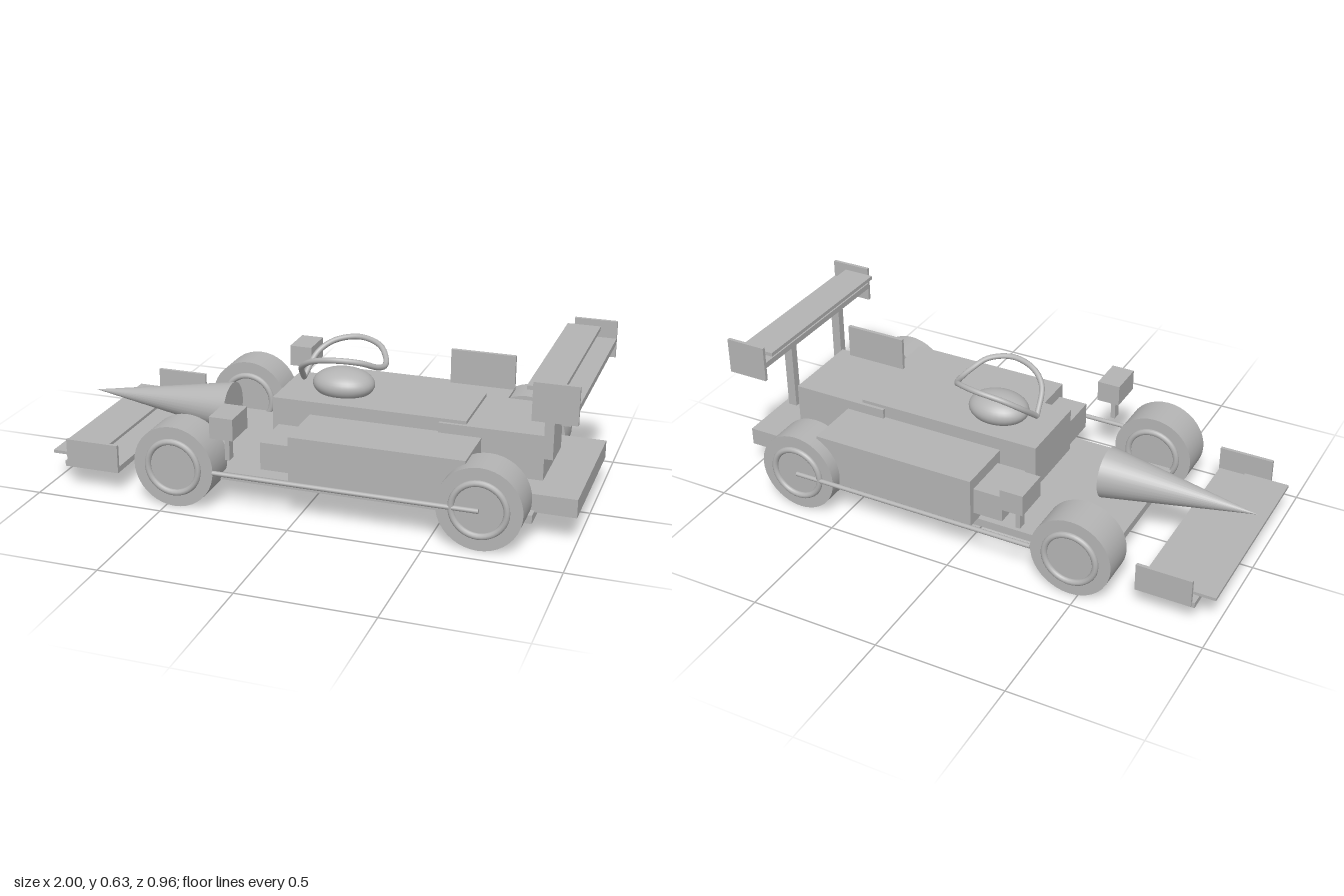
import * as THREE from 'three';

export function createModel() {
  const car = new THREE.Group();
  car.name = 'raceCar';
  const grey = new THREE.MeshStandardMaterial({ color: 0xb4b4b4 });
  grey.name = 'plain grey';

  const add = (name, geometry, x = 0, y = 0, z = 0) => {
    const mesh = new THREE.Mesh(geometry, grey);
    mesh.name = name;
    mesh.position.set(x, y, z);
    car.add(mesh);
    return mesh;
  };
  // Box given by its limits on each axis
  const box = (name, x0, x1, y0, y1, z0, z1) =>
    add(name, new THREE.BoxGeometry(x1 - x0, y1 - y0, z1 - z0),
      (x0 + x1) / 2, (y0 + y1) / 2, (z0 + z1) / 2);
  // Box repeated on both sides of the car
  const pair = (name, x0, x1, y0, y1, z0, z1) => {
    box(name + 'Left', x0, x1, y0, y1, z0, z1);
    box(name + 'Right', x0, x1, y0, y1, -z1, -z0);
  };

  // Body, the nose pointing to -x
  box('floor', -0.555, 0.85, 0.083, 0.115, -0.33, 0.33);
  box('cockpit', -0.185, 0.56, 0.185, 0.363, -0.15, 0.15);
  box('engineCover', 0.46, 0.85, 0.115, 0.35, -0.163, 0.163);
  box('diffuser', 0.63, 1.0, 0.108, 0.178, -0.285, 0.285);
  pair('sidePod', -0.038, 0.62, 0.115, 0.312, 0.15, 0.385);
  pair('airInlet', -0.155, -0.038, 0.16, 0.266, 0.17, 0.36);
  add('noseCone', new THREE.ConeGeometry(0.098, 0.59, 32).rotateZ(Math.PI / 2), -0.705, 0.24, 0);
  box('engineFin', 0.46, 0.70, 0.45, 0.578, -0.007, 0.007);

  // Front wing
  box('frontWing', -0.93, -0.71, 0.085, 0.107, -0.412, 0.412);
  box('frontFlap', -0.995, -0.82, 0.118, 0.13, -0.382, 0.382);
  pair('frontEndPlate', -0.918, -0.707, 0.09, 0.198, 0.405, 0.418);

  // Rear wing
  box('rearWing', 0.84, 1.0, 0.538, 0.561, -0.362, 0.362);
  box('rearFlap', 0.815, 0.94, 0.59, 0.605, -0.354, 0.354);
  pair('rearEndPlate', 0.84, 1.0, 0.487, 0.627, 0.361, 0.374);
  pair('rearWingPost', 0.85, 0.885, 0.27, 0.538, 0.15, 0.182);

  // Mirrors
  pair('mirror', -0.30, -0.21, 0.31, 0.393, 0.342, 0.482);
  pair('mirrorPost', -0.264, -0.246, 0.21, 0.31, 0.395, 0.43);

  // Helmet
  add('helmet', new THREE.SphereGeometry(1, 32, 20).scale(0.12, 0.06, 0.095), 0.045, 0.395, 0);

  // Halo, a loop with a kink at its front point
  const half = [[-0.115, 0.40, 0], [-0.09, 0.475, 0.09], [-0.035, 0.515, 0.13],
    [0.06, 0.534, 0.145], [0.15, 0.522, 0.11], [0.19, 0.495, 0.06]];
  const side = (s) => half.map(([x, y, z]) => new THREE.Vector3(x, y, s * z));
  const halo = new THREE.CatmullRomCurve3(
    [...side(1), new THREE.Vector3(0.205, 0.482, 0), ...side(-1).reverse()]);
  add('halo', new THREE.TubeGeometry(halo, 64, 0.011, 10));

  // Wheels, side rods and exhausts
  for (const s of [-1, 1]) {
    for (const [end, x, z] of [['front', -0.467, 0.372], ['rear', 0.684, 0.364]]) {
      add(end + 'Tyre', new THREE.CylinderGeometry(0.157, 0.157, 0.14, 40).rotateX(Math.PI / 2),
        x, 0.158, s * z);
      for (const face of [-1, 1]) {
        add(end + 'Rim', new THREE.TorusGeometry(0.1, 0.012, 10, 40),
          x, 0.158, s * z + face * 0.073);
      }
    }
    add('sideRod', new THREE.CylinderGeometry(0.009, 0.009, 0.995, 10).rotateZ(Math.PI / 2),
      0.187, 0.155, s * 0.44);
    add('exhaust', new THREE.CylinderGeometry(0.009, 0.009, 0.18, 10).rotateZ(Math.PI / 2),
      0.7, 0.23, s * 0.275);
  }

  return car;
}
